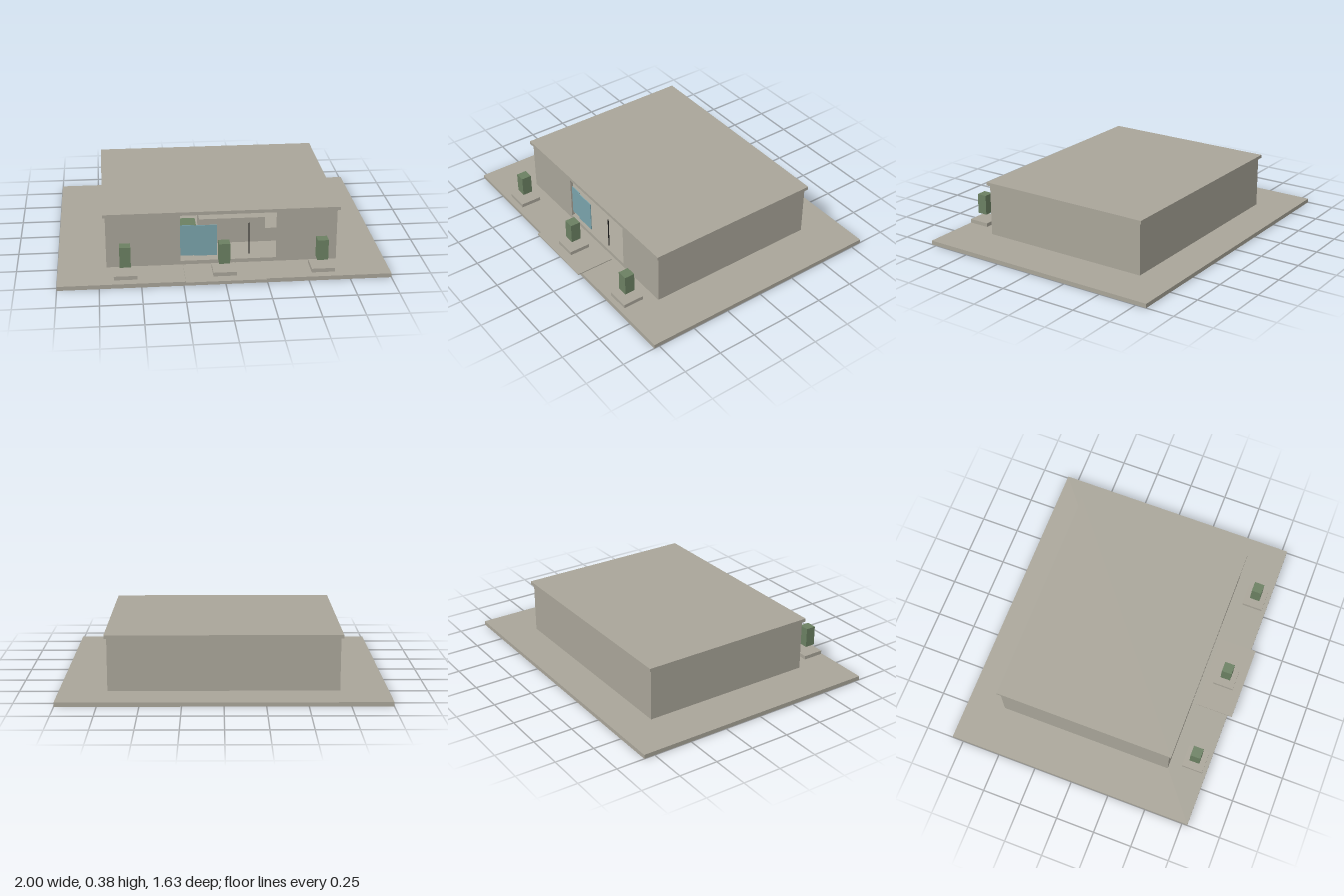
import * as THREE from 'three';

export function createModel() {
  const model = new THREE.Group();
  const mat = (name, color) => {
    const m = new THREE.MeshStandardMaterial({ color });
    m.name = name;
    return m;
  };
  const stone = mat('warm grey stone', 0xa9a599);
  const green = mat('muted green', 0x6b8062);
  const glass = mat('blue glass', 0x7aa3ab);
  const dark = mat('dark metal', 0x1c1c1c);

  // Box given by its extents on each axis
  function block(name, material, [x0, x1], [y0, y1], [z0, z1], parent = model) {
    const mesh = new THREE.Mesh(new THREE.BoxGeometry(x1 - x0, y1 - y0, z1 - z0), material);
    mesh.position.set((x0 + x1) / 2, (y0 + y1) / 2, (z0 + z1) / 2);
    mesh.name = name;
    parent.add(mesh);
    return mesh;
  }

  // Plot and entrance path
  block('groundSlab', stone, [-1, 1], [0, 0.026], [-0.82, 0.785]);
  block('entrancePath', stone, [-0.24, 0.24], [0.029, 0.035], [0.57, 0.815]);

  // Hollow building shell with a full-height opening in the front
  const H = [0.026, 0.355], T = 0.02;
  const W = 0.705, B = -0.58, F = 0.545;
  const open = [-0.255, 0.335];
  block('backWall', stone, [-W, W], H, [B, B + T]);
  block('rightWall', stone, [-W, -W + T], H, [B + T, F - T]);
  block('leftWall', stone, [W - T, W], H, [B + T, F - T]);
  block('frontWallRight', stone, [-W, open[0]], H, [F - T, F]);
  block('frontWallLeft', stone, [open[1], W], H, [F - T, F]);
  block('interiorFloor', stone, [-W + T, W - T], [0.026, 0.05], [B + T, F - T]);
  block('threshold', stone, open, [0.026, 0.05], [F - T, F]);
  block('roof', stone, [-0.72, 0.72], [0.355, 0.376], [-0.595, 0.56]);

  // Shopfront glazing and door handle
  block('glassPanelSide', glass, [-0.255, -0.17], [0.08, 0.28], [0.53, 0.535]);
  block('glassPanelMiddle', glass, [-0.17, -0.03], [0.08, 0.28], [0.538, 0.543]);
  block('doorBar', dark, [0.163, 0.168], [0.08, 0.285], [0.535, 0.54]);

  // Furniture inside
  block('sofaSeat', green, [-0.45, -0.135], [0.05, 0.15], [0.12, 0.27]);
  block('sofaBack', green, [-0.45, -0.29], [0.15, 0.215], [0.12, 0.27]);
  block('counter', stone, [-0.12, 0.295], [0.05, 0.215], [0.15, 0.3]);
  block('lowCabinet', stone, [0.295, 0.5], [0.05, 0.14], [0.15, 0.3]);

  // Row of planters along the front
  for (const x of [-0.593, -0.002, 0.589]) {
    const planter = new THREE.Group();
    planter.name = 'planter';
    planter.position.x = x;
    block('planterBase', stone, [-0.07, 0.07], [0.041, 0.065], [0.625, 0.76], planter);
    block('shrub', green, [-0.033, 0.033], [0.105, 0.233], [0.66, 0.725], planter);
    model.add(planter);
  }

  return model;
}
